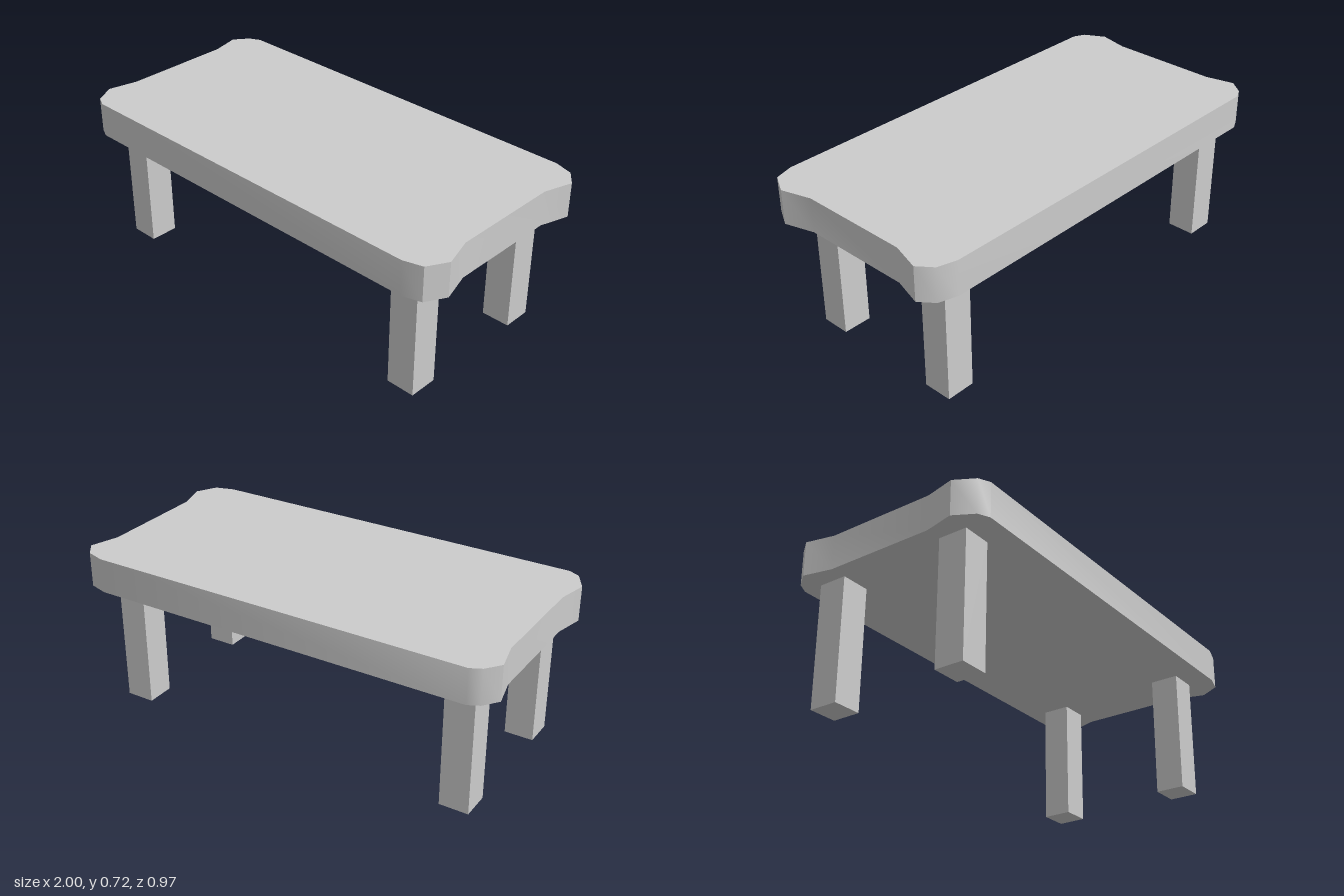
import * as THREE from 'three';
import { toCreasedNormals } from 'three/addons/utils/BufferGeometryUtils.js';

const UNDERSIDE = 0.56;
const TOP = 0.718;
const LEG = 0.132;

export function createModel() {
  const group = new THREE.Group();
  const material = new THREE.MeshStandardMaterial({ color: 0xcccccc });

  // Table top: flared, clipped corners with slightly recessed ends (x, z outline)
  const outline = [
    [-0.9, 0.485], [0.865, 0.485], [0.95, 0.46], [1, 0.37], [0.96, 0.235],
    [0.96, -0.265], [1, -0.395], [0.95, -0.46], [0.865, -0.485], [-0.9, -0.485],
    [-0.95, -0.46], [-1, -0.395], [-0.97, -0.265], [-0.97, 0.235], [-1, 0.37], [-0.95, 0.46],
  ];
  const shape = new THREE.Shape(outline.map(([x, z]) => new THREE.Vector2(x, -z)));
  const slab = new THREE.ExtrudeGeometry(shape, { depth: TOP - UNDERSIDE, bevelEnabled: false });
  slab.rotateX(-Math.PI / 2).translate(0, UNDERSIDE, 0);
  const tableTop = new THREE.Mesh(toCreasedNormals(slab, 0.7), material);
  tableTop.name = 'tableTop';
  group.add(tableTop);

  // Four square legs
  const legGeometry = new THREE.BoxGeometry(LEG, UNDERSIDE, LEG);
  for (const [side, x] of [['Right', -0.833], ['Left', 0.788]]) {
    for (const [end, z] of [['front', 0.302], ['back', -0.328]]) {
      const leg = new THREE.Mesh(legGeometry, material);
      leg.name = `${end}${side}Leg`;
      leg.position.set(x, UNDERSIDE / 2, z);
      group.add(leg);
    }
  }
  return group;
}
